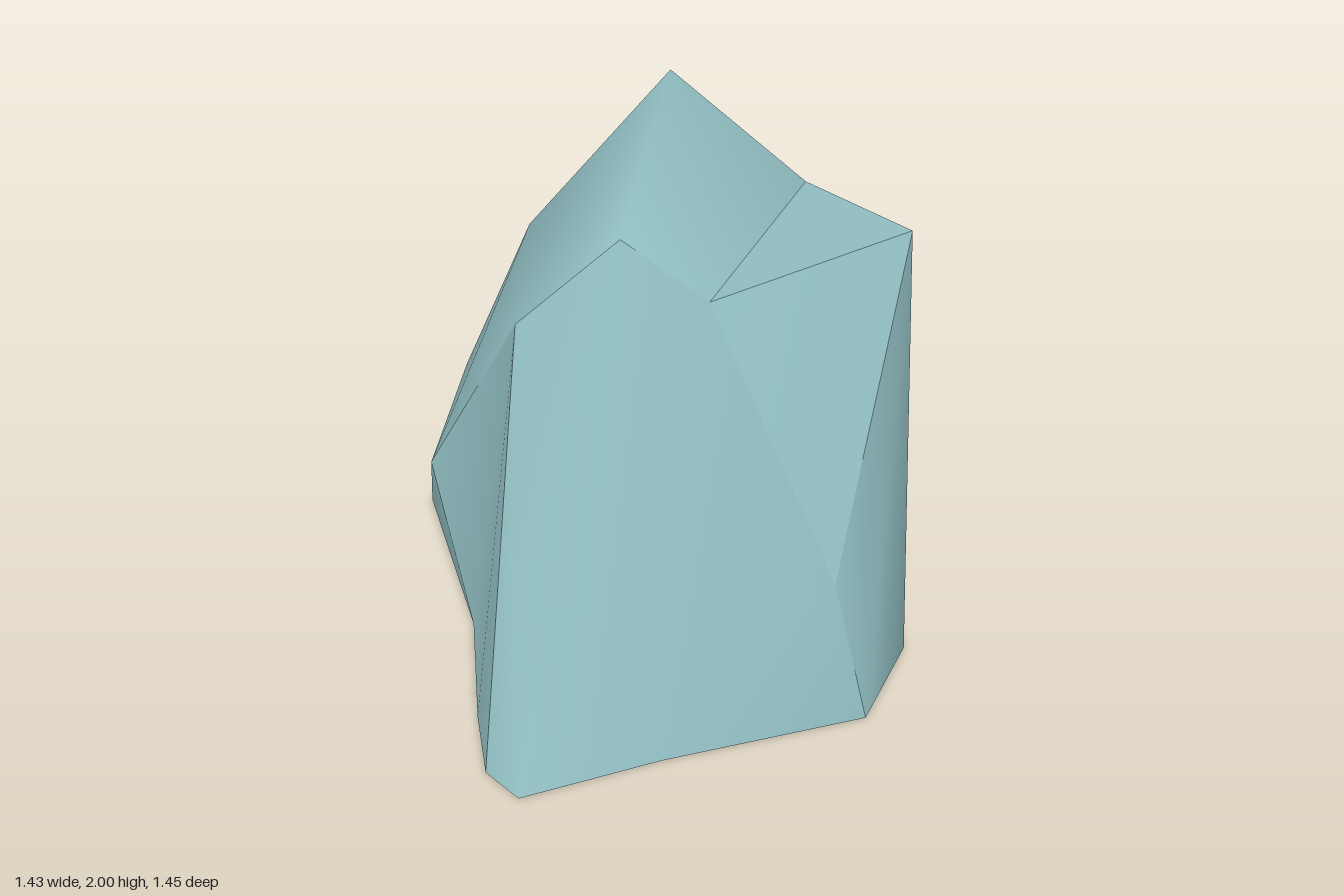
import * as THREE from 'three';

// Corner points of the cut faces
const P = {
  peak: [0.02, 2, 0.02], shoulder: [0.615, 1.61, 0.36], notch: [0.575, 1.19, 0.03],
  front: [0.03, 1.51, 0.415], frontLow: [0.37, 0.58, 0.635], frontLeft: [-0.18, 1.65, 0.27],
  west: [-0.46, 1.34, 0.16], westLow: [-0.715, 0.66, -0.105], ridge: [-0.37, 1.52, -0.06],
  cornerTop: [-0.55, 0.81, -0.38], backLow: [-0.38, 0.66, -0.56], back: [-0.12, 1.125, -0.46],
  north: [0.235, 1.62, -0.355], east: [0.47, 1.5, -0.12], centre: [0, 0, 0],
};

// Outline on the ground, anticlockwise seen from above, named b0 to b13
const outline = [
  [-0.62, 0.72], [-0.17, 0.685], [0.495, 0.675], [0.715, 0.425], [0.67, 0.1], [0.665, -0.12], [0.54, -0.57],
  [0.17, -0.68], [-0.06, -0.73], [-0.48, -0.665], [-0.69, -0.66], [-0.64, -0.02], [-0.69, 0.38], [-0.7, 0.6],
];
outline.forEach(([x, z], i) => { P['b' + i] = [x, 0, z]; });

// Each fan is a hub corner followed by the ring of corners around it;
// normals are smooth inside one surface and break between surfaces
function surface(name, material, fans) {
  const names = [...new Set(fans.flatMap((f) => f.split(' ')))];
  const index = [];
  for (const fan of fans) {
    const [hub, ...ring] = fan.split(' ').map((n) => names.indexOf(n));
    for (let i = 0; i + 1 < ring.length; i++) index.push(hub, ring[i], ring[i + 1]);
  }
  const geometry = new THREE.BufferGeometry();
  geometry.setAttribute('position', new THREE.Float32BufferAttribute(names.flatMap((n) => P[n]), 3));
  geometry.setIndex(index);
  geometry.computeVertexNormals();
  const mesh = new THREE.Mesh(geometry, material);
  mesh.name = name;
  return mesh;
}

export function createModel() {
  const stone = new THREE.MeshStandardMaterial({ color: 0x94c2c6 });
  stone.name = 'paleTealStone';
  const group = new THREE.Group();
  group.name = 'crystalRock';
  const add = (name, ...fans) => group.add(surface(name, stone, fans));

  // Rounded top, sloping down to the back and the left
  add('crown',
    'peak frontLeft front east north back ridge frontLeft',
    'ridge back cornerTop westLow west frontLeft',
    'back backLow cornerTop',
    'front frontLow shoulder');

  // Broken ledge beside the shoulder
  add('ledge', 'front shoulder east');
  add('notchFace', 'shoulder notch east');

  // Walls between the crown and the ground
  add('frontWall',
    'west b13 b0 frontLeft', 'frontLeft b0 b1 front', 'front b1 frontLow', 'frontLow b1 b2');
  add('rightWall',
    'shoulder frontLow b2 b3 notch', 'notch b3 b4 b5 east', 'east b5 b6');
  add('backWall',
    'north east b6 b7 back', 'back b7 b8 backLow', 'backLow b8 b9');
  add('cornerWall',
    'backLow b9 b10 cornerTop', 'cornerTop b10 westLow', 'westLow b10 b11');
  add('leftWall', 'west westLow b11 b12 b13');

  // Flat underside
  const ring = outline.map((_, i) => 'b' + i).reverse();
  add('base', ['centre', ...ring, ring[0]].join(' '));
  return group;
}
